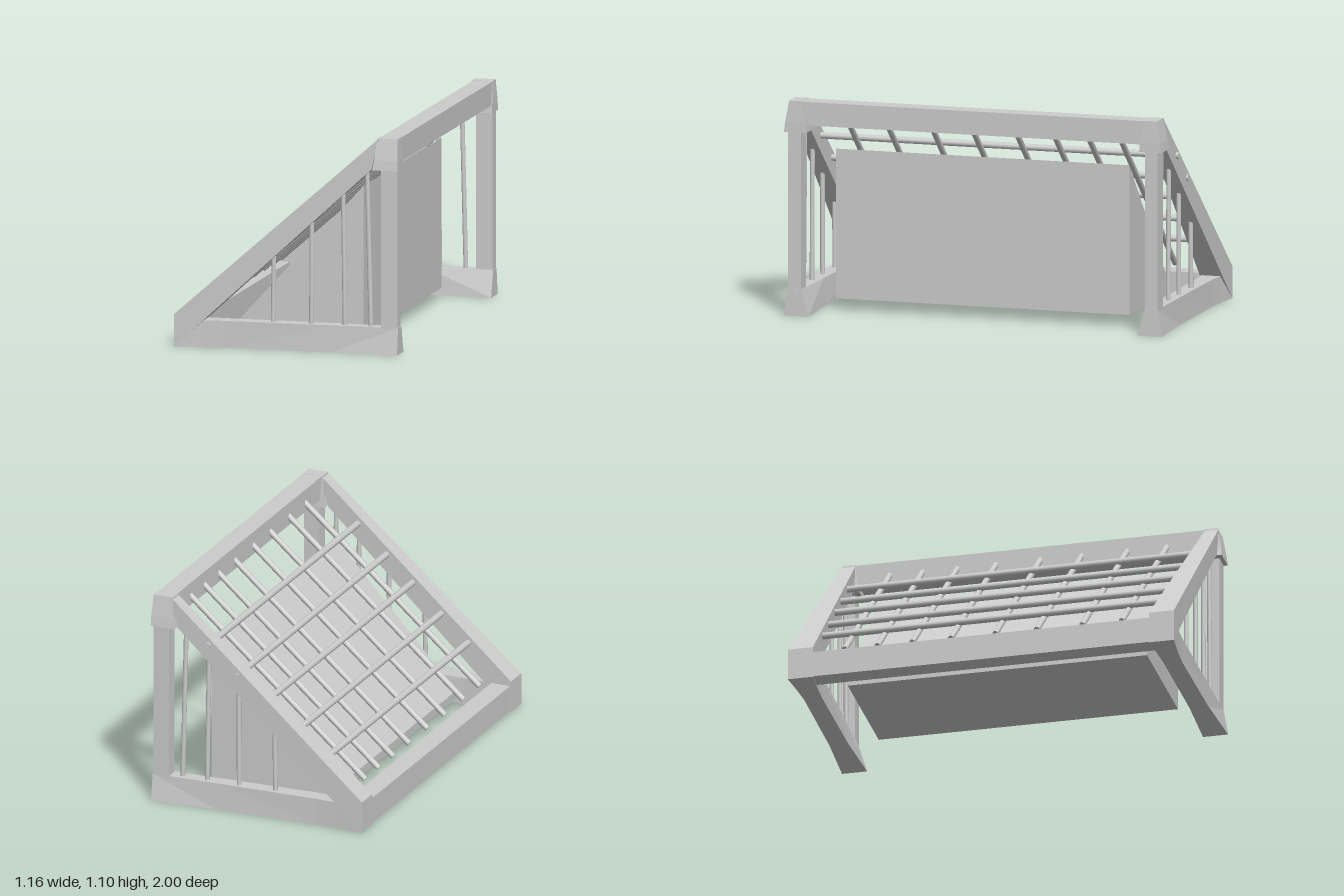
import * as THREE from 'three';

const grey = new THREE.MeshStandardMaterial({ color: 0xcccccc, flatShading: true });
const smooth = new THREE.MeshStandardMaterial({ color: 0xcccccc });

// Closed beam through four-cornered sections; winding is fixed by signed volume.
function beam(name, sections) {
  const tris = [];
  const quad = (a, b, c, d) => tris.push([a, b, c], [a, c, d]);
  for (let i = 0; i < sections.length - 1; i++) {
    const p = sections[i], q = sections[i + 1];
    for (let k = 0; k < 4; k++) {
      const n = (k + 1) % 4;
      quad(p[k], p[n], q[n], q[k]);
    }
  }
  const first = sections[0], last = sections[sections.length - 1];
  quad(first[3], first[2], first[1], first[0]);
  quad(...last);
  const c = first[0];
  let volume = 0;
  for (const t of tris) {
    const [u, v, w] = t.map(p => new THREE.Vector3(p[0] - c[0], p[1] - c[1], p[2] - c[2]));
    volume += u.dot(v.cross(w));
  }
  if (volume < 0) tris.forEach(t => t.reverse());
  const geo = new THREE.BufferGeometry();
  geo.setAttribute('position', new THREE.Float32BufferAttribute(tris.flat(2), 3));
  geo.computeVertexNormals();
  const mesh = new THREE.Mesh(geo, grey);
  mesh.name = name;
  return mesh;
}

// Round bar between two points
function bar(name, a, b, radius) {
  const from = new THREE.Vector3(...a), to = new THREE.Vector3(...b);
  const dir = to.clone().sub(from);
  const mesh = new THREE.Mesh(new THREE.CylinderGeometry(radius, radius, dir.length(), 12), smooth);
  mesh.position.copy(from).add(to).multiplyScalar(0.5);
  mesh.quaternion.setFromUnitVectors(new THREE.Vector3(0, 1, 0), dir.normalize());
  mesh.name = name;
  return mesh;
}

function block(name, x0, x1, y0, y1, z0, z1) {
  const mesh = new THREE.Mesh(new THREE.BoxGeometry(x1 - x0, y1 - y0, z1 - z0), grey);
  mesh.position.set((x0 + x1) / 2, (y0 + y1) / 2, (z0 + z1) / 2);
  mesh.name = name;
  return mesh;
}

// One triangular end frame; s is the side in z
function endFrame(s) {
  const g = new THREE.Group();
  g.name = s > 0 ? 'frontEndFrame' : 'backEndFrame';

  // Sloping beam, tapering upwards
  const slope = (xb, yb, xt, yt, zi, zo) =>
    [[xb, yb, s * zi], [xb, yb, s * zo], [xt, yt, s * zo], [xt, yt, s * zi]];
  g.add(beam('slopeBeam', [
    slope(-0.58, 0, -0.58, 0.165, 0.87, 1),
    slope(0.44, 0.94, 0.48, 1.1, 0.905, 0.976),
  ]));

  // Base beam, waisted in the middle and flared under the post
  const base = (x, top, bi, bo, ti, to) =>
    [[x, 0, s * bi], [x, 0, s * bo], [x, top, s * to], [x, top, s * ti]];
  g.add(beam('baseBeam', [
    base(-0.58, 0.002, 0.87, 1, 0.87, 1),
    base(-0.43, 0.137, 0.88, 0.985, 0.885, 0.983),
    base(-0.32, 0.137, 0.885, 0.978, 0.89, 0.976),
    base(0.23, 0.137, 0.885, 0.982, 0.9, 0.975),
    base(0.58, 0.137, 0.87, 1, 0.91, 0.977),
  ]));

  // Upright post and the flared cap above it
  const level = (y, x0, x1, zi, zo) =>
    [[x0, y, s * zi], [x1, y, s * zi], [x1, y, s * zo], [x0, y, s * zo]];
  g.add(beam('post', [level(0.13, 0.49, 0.576, 0.91, 0.977), level(0.96, 0.49, 0.576, 0.91, 0.977)]));
  g.add(beam('cornerCap', [
    level(0.94, 0.45, 0.582, 0.88, 0.998),
    level(0.99, 0.46, 0.582, 0.885, 0.992),
    level(1.1, 0.47, 0.577, 0.905, 0.972),
  ]));

  // Upright bars: foot x, head x, head y
  [[-0.08, -0.075, 0.49], [0.12, 0.122, 0.68], [0.295, 0.285, 0.83], [0.43, 0.41, 0.94]]
    .forEach(([x0, x1, y]) =>
      g.add(bar('uprightBar', [x0, 0.12, s * 0.942], [x1, y, s * 0.942], 0.012)));
  return g;
}

export function createModel() {
  const model = new THREE.Group();
  model.name = 'barredFrame';
  model.add(endFrame(1), endFrame(-1));

  // Long beams joining the two ends
  model.add(block('lowBeam', -0.575, -0.47, 0.005, 0.14, -0.9, 0.9));
  model.add(block('topBeam', 0.475, 0.577, 0.978, 1.098, -0.92, 0.92));

  // Solid wedge inside the frame
  const profile = new THREE.Shape([
    [-0.31, 0.06], [0.353, 0.06], [0.353, 0.826], [-0.31, 0.1],
  ].map(p => new THREE.Vector2(...p)));
  const wedge = new THREE.Mesh(
    new THREE.ExtrudeGeometry(profile, { depth: 1.55, bevelEnabled: false }), grey);
  wedge.position.z = -0.755;
  wedge.name = 'innerWedge';
  model.add(wedge);

  // Lattice over the slope: bars along it, and crossbars on top
  const barY = x => 0.634 + 0.878 * x;
  [-0.73, -0.56, -0.38, -0.18, 0.05, 0.265, 0.5, 0.705].forEach(z =>
    model.add(bar('slopeBar', [-0.48, barY(-0.48) - 0.03, z], [0.485, barY(0.485) - 0.03, z], 0.015)));
  [-0.34, -0.19, -0.03, 0.115, 0.275].forEach((x, i) =>
    model.add(bar('crossBar', [x, barY(x), i > 2 ? -0.993 : -0.92], [x, barY(x), 0.9], 0.017)));
  return model;
}
